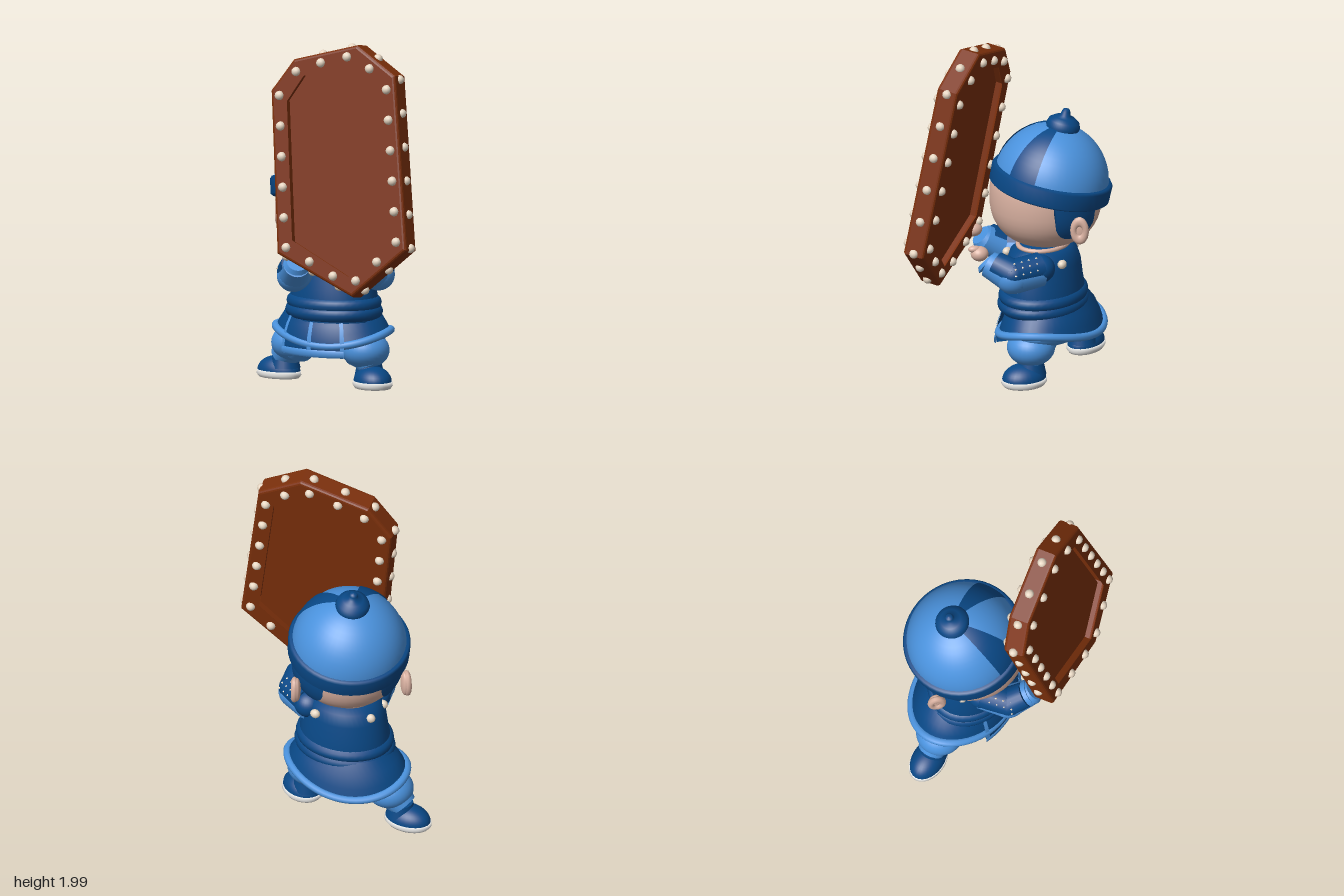
import * as THREE from 'three';
import { ParametricGeometry } from 'three/addons/geometries/ParametricGeometry.js';

const paint = (name, color) => {
  const m = new THREE.MeshStandardMaterial({ color, side: THREE.DoubleSide });
  m.name = name;
  return m;
};
const V = (x, y, z) => new THREE.Vector3(x, y, z);

export function createModel() {
  const light = paint('light blue', 0x4a92dd);
  const dark = paint('dark blue', 0x094886);
  const skin = paint('skin', 0xd8b0a0);
  const brown = paint('brown leather', 0x7c300b);
  const cream = paint('cream studs', 0xf0dfca);
  const white = paint('white soles', 0xf2f2f0);

  const model = new THREE.Group();
  const add = (parent, name, geo, mat, x = 0, y = 0, z = 0) => {
    const m = new THREE.Mesh(geo, mat);
    m.name = name;
    m.position.set(x, y, z);
    parent.add(m);
    return m;
  };
  const group = (name, x = 0, y = 0, z = 0, parent = model) => {
    const g = new THREE.Group();
    g.name = name;
    g.position.set(x, y, z);
    parent.add(g);
    return g;
  };
  const blob = (parent, name, mat, p, r) => {
    const m = add(parent, name, new THREE.SphereGeometry(1, 32, 20), mat, ...p);
    m.scale.set(...r);
    return m;
  };
  const lathe = (pts, start = 0, len = Math.PI * 2) =>
    new THREE.LatheGeometry(pts.map(p => new THREE.Vector2(...p)), len > 6 ? 48 : 14, start, len);
  // tapered round limb between two points
  const limb = (parent, name, mat, a, b, ra, rb) => {
    const d = b.clone().sub(a);
    const m = add(parent, name, new THREE.CylinderGeometry(rb, ra, d.length(), 20), mat);
    m.position.copy(a).addScaledVector(d, 0.5);
    m.quaternion.setFromUnitVectors(V(0, 1, 0), d.normalize());
    return m;
  };

  // --- shield: framed panel, recessed on both faces, leaning back ---
  const shield = group('shield', 0.005, 1.3, 0.265);
  const u = V(0.815, 0.13, 0.566).normalize();
  const n = u.clone().cross(V(-0.03, 0.976, -0.2)).normalize();
  shield.quaternion.setFromRotationMatrix(new THREE.Matrix4().makeBasis(u, n.clone().cross(u), n));
  const outline = [[-0.4, 0.46], [-0.25, 0.62], [0.16, 0.675], [0.39, 0.495], [0.415, -0.49], [0.06, -0.725], [-0.405, -0.46]];
  const ring = (sx, sy) => outline.map(([x, y]) => new THREE.Vector2(x * sx, y * sy));
  const frameShape = new THREE.Shape(ring(0.965, 0.975));
  frameShape.holes.push(new THREE.Path(ring(0.755, 0.845)));
  add(shield, 'shieldFrame', new THREE.ExtrudeGeometry(frameShape,
    { depth: 0.09, bevelThickness: 0.018, bevelSize: 0.018, bevelSegments: 3 }), brown, 0, 0, -0.045);
  add(shield, 'shieldPanel', new THREE.ExtrudeGeometry(new THREE.Shape(ring(0.77, 0.86)),
    { depth: 0.04, bevelEnabled: false }), brown, 0, 0, -0.02);
  const studGeo = new THREE.IcosahedronGeometry(0.027, 1);
  const studRow = (sx, sy, z, count) => {
    const pts = ring(sx, sy);
    new THREE.Path([...pts, pts[0]]).getSpacedPoints(count).slice(0, -1).forEach(p =>
      add(shield, 'shieldStud', studGeo, cream, p.x, p.y, z));
  };
  studRow(0.87, 0.92, 0.064, 20);
  studRow(0.87, 0.92, -0.064, 20);
  studRow(0.998, 0.998, 0, 20);

  // --- head, slightly squared, with hair patches and ears ---
  const head = group('head', 0, 1.05, -0.235);
  head.rotation.y = -0.19;
  const soft = (c) => Math.sign(c) * Math.pow(Math.abs(c), 0.84);
  add(head, 'face', lathe(Array.from({ length: 25 }, (_, i) => {
    const a = -Math.PI / 2 + Math.PI * i / 24;
    return [0.315 * soft(Math.max(0, Math.cos(a))), 0.285 * soft(Math.sin(a))];
  })), skin);
  for (const s of [1, -1]) {
    // rounded hair patch hugging the side of the head
    add(head, 'sideHair', new ParametricGeometry((a, b, t) => {
      const az = s * (1.7 + a * 0.92);
      const low = -0.58 * Math.pow(Math.max(0, 1 - Math.pow(Math.abs(2 * a - 1), 3)), 0.5);
      const lat = 0.4 + (low - 0.4) * b;
      const r = 0.323 * soft(Math.cos(lat));
      t.set(r * Math.sin(az), 0.292 * soft(Math.sin(lat)), r * Math.cos(az));
    }, 20, 10), dark);
    const ear = group('ear', s * 0.31, -0.1, -0.185, head);
    ear.rotation.y = s * (Math.PI / 2 - 0.15);
    blob(ear, 'earBowl', skin, [0, 0, -0.008], [0.044, 0.076, 0.022]);
    add(ear, 'earRim', new THREE.TorusGeometry(0.034, 0.019, 10, 24), skin, 0, 0, 0.006).scale.y = 1.55;
  }

  // --- hat tilted back, with band, two stripes and knob ---
  const hat = group('hat', 0, 1.125, -0.265);
  hat.rotation.x = -0.21;
  const dome = (extra) => Array.from({ length: 15 }, (_, i) => {
    const a = Math.PI / 2 * i / 14;
    return [Math.max(0, (0.324 + extra) * Math.cos(a)), (0.335 + extra) * Math.sin(a)];
  });
  add(hat, 'hatDome', lathe(dome(0)), light);
  for (const start of [0.5, -1.03]) add(hat, 'hatStripe', lathe(dome(0.006), start, 0.53), dark);
  add(hat, 'hatBand', lathe([[0.3, -0.05], [0.328, -0.056], [0.341, -0.045], [0.343, 0.04], [0.334, 0.054], [0.31, 0.055]]), dark);
  add(hat, 'hatKnob', lathe([[0.09, 0.31], [0.097, 0.335], [0.086, 0.365], [0.058, 0.385], [0.028, 0.395], [0.024, 0.42], [0.017, 0.433], [0, 0.436]]), dark);

  // --- torso turned towards the shield, with collar, beads and belt ---
  const body = group('body', 0.01, 0, -0.22);
  body.rotation.y = -Math.PI / 4;
  body.scale.set(1.12, 1, 0.92);
  add(body, 'tunic', lathe([[0.235, 0.38], [0.24, 0.48], [0.225, 0.56], [0.213, 0.66], [0.19, 0.73], [0.15, 0.765], [0, 0.785]]), dark);
  add(body, 'collar', new THREE.TorusGeometry(0.145, 0.013, 10, 36), skin, 0, 0.768, 0).rotation.x = Math.PI / 2;
  for (const [x, z] of [[0.08, -0.2], [-0.18, -0.08], [0.08, 0.2], [-0.18, 0.08]]) {
    add(body, 'neckBead', studGeo, cream, x, 0.7, z);
  }
  for (const [y, r, t] of [[0.475, 0.213, 0.042], [0.425, 0.22, 0.042]]) {
    add(body, 'belt', new THREE.TorusGeometry(r, t, 12, 40), dark, 0, y, 0).rotation.x = Math.PI / 2;
  }

  // --- skirt: oval flare whose hem rises at the two sides ---
  const skirt = group('skirt', 0.01, 0, -0.265);
  skirt.rotation.y = -Math.PI / 4;
  skirt.scale.set(1.17, 1, 0.89);
  const rise = (phi) => 0.07 * Math.sin(phi - Math.PI / 8) ** 2;
  const cloth = lathe([[0.3, 0.25], [0.282, 0.31], [0.255, 0.38], [0.21, 0.45]]);
  const pos = cloth.attributes.position;
  for (let i = 0; i < pos.count; i++) {
    const w = (0.45 - pos.getY(i)) / 0.2;
    pos.setY(i, pos.getY(i) + w * rise(Math.atan2(pos.getX(i), pos.getZ(i))));
  }
  cloth.computeVertexNormals();
  add(skirt, 'skirtCloth', cloth, dark);
  const hemPath = new THREE.CatmullRomCurve3(Array.from({ length: 24 }, (_, i) => {
    const a = i * Math.PI / 12;
    return V(0.3 * Math.sin(a), 0.25 + rise(a), 0.3 * Math.cos(a));
  }), true);
  add(skirt, 'skirtHem', new THREE.TubeGeometry(hemPath, 72, 0.022, 10, true), light);

  // --- hanging front apron with light trim on its outer face ---
  const flap = [[0.312, 0.19], [0.314, 0.24], [0.306, 0.3], [0.285, 0.36], [0.255, 0.42]];
  add(skirt, 'apron', lathe([[0.2, 0.195], ...flap], -0.42, 1.08), dark);
  add(skirt, 'apronHem', lathe([[0.316, 0.188], [0.325, 0.2], [0.325, 0.22], [0.318, 0.23]], -0.44, 1.16), light);
  for (const a of [-0.44, 0.1, 0.66]) add(skirt, 'apronEdge', lathe(flap.map(([r, y]) => [r + 0.006, y]), a, 0.07), light);

  // --- trousers and shoes: left leg forward, right leg braced behind ---
  blob(skirt, 'hips', light, [0, 0.29, -0.02], [0.28, 0.1, 0.23]);
  const legs = group('legs');
  const leg = (knee, foot, yaw, hip, [w, l]) => {
    blob(legs, 'trouserLeg', light, knee, [0.135, 0.105, 0.135]);
    limb(legs, 'thigh', light, V(...hip), V(...knee), 0.12, 0.125);
    limb(legs, 'shin', light, V(...knee), V(foot[0], 0.12, foot[1]), 0.11, 0.075);
    const shoe = group('shoe', foot[0], 0, foot[1], legs);
    shoe.rotation.y = yaw;
    add(shoe, 'sole', lathe([[0, 0], [0.9, 0.003], [1, 0.02], [0.98, 0.042], [0, 0.045]]), white, 0, 0, 0.025).scale.set(w, 1, l);
    add(shoe, 'shoeUpper', new THREE.SphereGeometry(1, 28, 12, 0, Math.PI * 2, 0, Math.PI / 2), dark, 0, 0.04, 0.025).scale.set(w * 0.95, 0.085, l * 0.96);
    add(shoe, 'ankle', new THREE.CylinderGeometry(0.068, 0.085, 0.08, 24), dark, 0, 0.1, -0.02);
  };
  leg([0.175, 0.21, -0.115], [0.203, -0.092], 0.3, [0.1, 0.31, -0.2], [0.108, 0.134]);
  leg([-0.185, 0.21, -0.44], [-0.25, -0.505], -2.33, [-0.1, 0.31, -0.32], [0.095, 0.14]);

  // --- arms bent forward: light sleeves with dark plates lying on top ---
  const arm = (...points) => {
    const g = group('arm');
    const [s, e, w, h] = points.map(p => V(...p));
    const side = Math.sign(s.x);
    const lift = (p, y) => p.clone().add(V(side * 0.008, y, 0));
    blob(g, 'shoulderCap', dark, lift(s, 0.015).toArray(), [0.085, 0.08, 0.085]);
    limb(g, 'upperSleeve', light, s, e, 0.09, 0.093);
    blob(g, 'elbowSleeve', light, e.toArray(), [0.093, 0.092, 0.098]);
    limb(g, 'foreSleeve', light, e, w, 0.092, 0.075);
    limb(g, 'cuffEnd', light, w, w.clone().lerp(h, 0.3), 0.075, 0.06);
    limb(g, 'upperPlate', dark, lift(s, 0.025), lift(e, 0.025), 0.084, 0.084);
    blob(g, 'elbowPlate', dark, lift(e, 0.025).toArray(), [0.084, 0.08, 0.084]);
    limb(g, 'forePlate', dark, lift(e, 0.025), lift(e.clone().lerp(w, 0.75), 0.022), 0.084, 0.074);
    blob(g, 'fist', skin, h.toArray(), [0.048, 0.042, 0.05]);
    blob(g, 'thumb', skin, [h.x, h.y + 0.03, h.z + 0.03], [0.022, 0.02, 0.035]);
    // small flecks scattered over the plates
    for (let i = 0; i < 4; i++) for (let j = 0; j < 3; j++) {
      const p = lift(s.clone().lerp(e, 0.2 + i * 0.27), 0.025), a = 0.2 + j * 0.45;
      add(g, 'sleeveFleck', new THREE.OctahedronGeometry(0.008), cream,
        p.x + side * 0.083 * Math.cos(a), p.y + 0.083 * Math.sin(a), p.z);
    }
  };
  arm([0.195, 0.67, -0.16], [0.235, 0.655, 0.0], [0.15, 0.715, 0.12], [0.11, 0.765, 0.165]);
  arm([-0.165, 0.67, -0.2], [-0.235, 0.645, -0.06], [-0.23, 0.725, 0.07], [-0.225, 0.785, 0.13]);

  return model;
}
